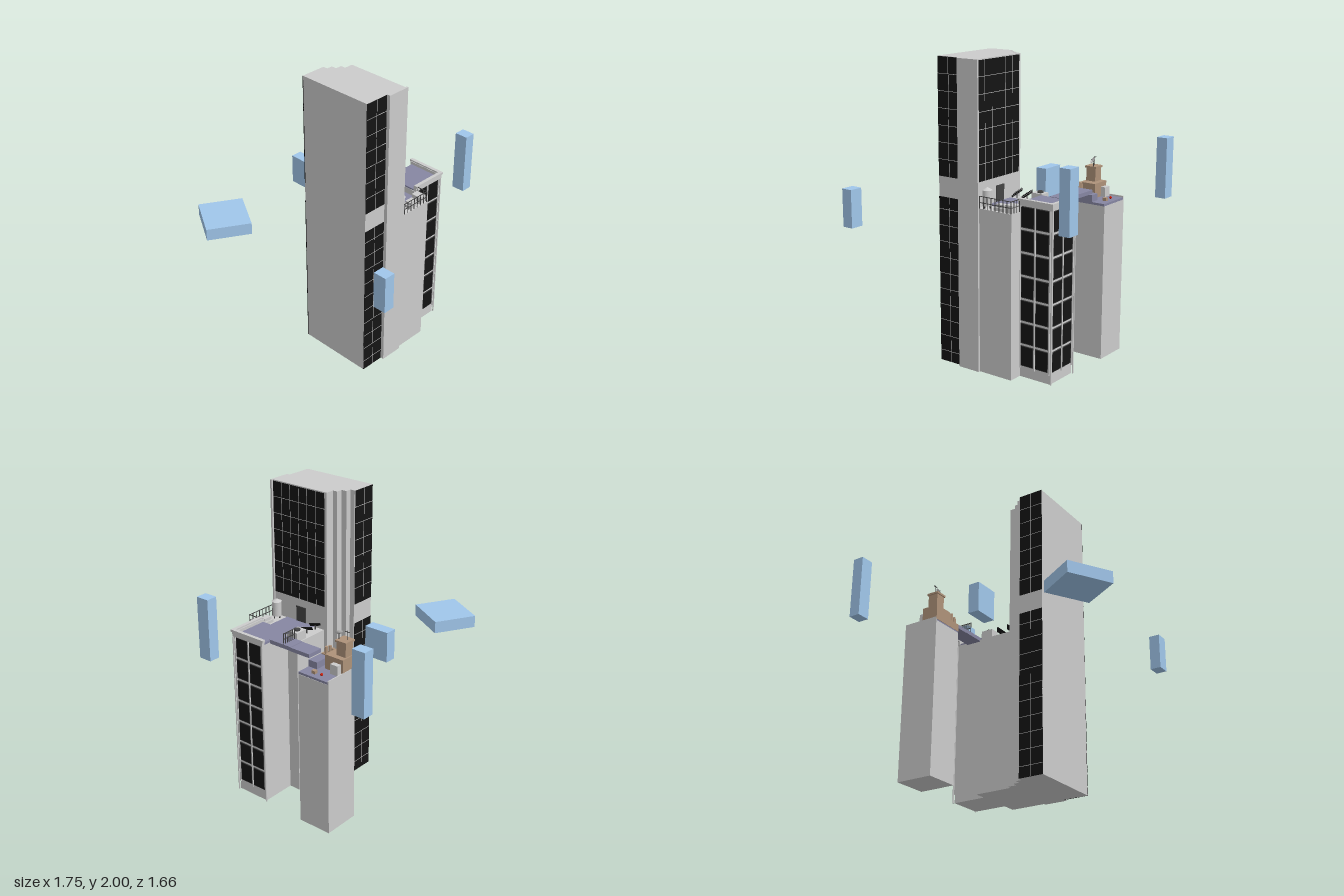
import * as THREE from 'three';

const mat = (color) => new THREE.MeshStandardMaterial({ color });
const GREY = mat(0xcccccc), GLASS = mat(0x141414), ROOF = mat(0x8686a2);
const BLUE = mat(0xa0c6ea), BROWN = mat(0xae9279), DARK = mat(0x444444), RED = mat(0xcc2211);

function add(parent, name, geo, m, x = 0, y = 0, z = 0) {
  const mesh = new THREE.Mesh(geo, m);
  mesh.name = name;
  mesh.position.set(x, y, z);
  parent.add(mesh);
  return mesh;
}

// Box given by its minimum and maximum on each axis
function block(parent, name, m, x0, x1, y0, y1, z0, z1) {
  return add(parent, name, new THREE.BoxGeometry(x1 - x0, y1 - y0, z1 - z0), m,
    (x0 + x1) / 2, (y0 + y1) / 2, (z0 + z1) / 2);
}

function group(parent, name, x = 0, y = 0, z = 0, turn = 0) {
  const g = new THREE.Group();
  g.name = name;
  g.position.set(x, y, z);
  g.rotation.y = turn;
  parent.add(g);
  return g;
}

// Dark glazing with thin mullions, facing local +z, origin at bottom centre
function curtainWall(parent, name, w, h, cols, lines, x, y, z, turn) {
  const g = group(parent, name, x, y, z, turn);
  block(g, 'glass', GLASS, -w / 2, w / 2, 0, h, -0.004, 0.002);
  for (let i = 1; i < cols; i++) {
    const u = -w / 2 + (w * i) / cols;
    block(g, 'mullion', GREY, u - 0.0015, u + 0.0015, 0, h, 0, 0.003);
  }
  for (const v of lines) block(g, 'transom', GREY, -w / 2, w / 2, v - 0.0015, v + 0.0015, 0, 0.003);
}

const rows = (start, step, n) => Array.from({ length: n }, (_, i) => start + i * step);

// Two columns of seven framed windows, facing local +z
function windowBays(parent, name, x, z, turn) {
  const g = group(parent, name, x, 0, z, turn);
  for (let r = 0; r < 7; r++) for (const s of [-1, 1]) {
    const y = 0.143 + r * 0.151, u = s * 0.056;
    block(g, 'windowFrame', DARK, u - 0.05, u + 0.05, y - 0.068, y + 0.068, -0.004, 0.004);
    block(g, 'windowPane', GLASS, u - 0.045, u + 0.045, y - 0.063, y + 0.063, 0, 0.006);
  }
  for (const u of [-0.112, 0, 0.112]) block(g, 'pilaster', GREY, u - 0.004, u + 0.004, 0.06, 1.15, 0, 0.008);
}

// Railing between two points on a level deck
function railing(parent, name, x0, z0, x1, z1, y, h, posts) {
  const len = Math.hypot(x1 - x0, z1 - z0);
  const g = group(parent, name, x0, y, z0, -Math.atan2(z1 - z0, x1 - x0));
  for (const v of [h, h * 0.5]) block(g, 'rail', DARK, 0, len, v - 0.004, v, -0.002, 0.002);
  for (let i = 0; i <= posts; i++) {
    const u = (len * i) / posts;
    block(g, 'post', DARK, u - 0.002, u + 0.002, 0, h, -0.002, 0.002);
  }
}

function buildTower(root) {
  const g = group(root, 'mainTower');
  const plan = new THREE.Shape([
    [-0.16, 0.18], [0.374, 0.18], [0.374, 0.008], [0.398, 0.008], [0.398, -0.152], [0.385, -0.152],
    [0.385, -0.14], [-0.056, -0.14], [-0.056, -0.08], [-0.09, -0.08], [-0.09, -0.036],
    [-0.127, -0.036], [-0.127, 0.004], [-0.16, 0.004],
  ].map(([x, z]) => new THREE.Vector2(x, -z)));
  const geo = new THREE.ExtrudeGeometry(plan, { depth: 2, bevelEnabled: false });
  geo.rotateX(-Math.PI / 2);
  add(g, 'towerShell', geo, GREY);
  // Side glazing, broken by a plain band
  for (const [x, turn] of [[0.374, Math.PI / 2], [-0.16, -Math.PI / 2]]) {
    curtainWall(g, 'lowerSideGlazing', 0.17, 1.11, 2, rows(0.072, 0.1064, 10), x, 0, 0.095, turn);
    curtainWall(g, 'upperSideGlazing', 0.17, 0.755, 2, rows(0.11, 0.108, 6), x, 1.243, 0.095, turn);
  }
  curtainWall(g, 'backGlazing', 0.42, 0.75, 6, rows(0.11, 0.108, 6), 0.172, 1.243, -0.14, Math.PI);
  block(g, 'terraceDoor', DARK, 0.12, 0.2, 1.08, 1.19, -0.145, -0.139);
}

function buildWing(root) {
  const g = group(root, 'rearWing');
  block(g, 'terraceBlock', GREY, -0.03, 0.382, 0, 1.08, -0.398, -0.139);
  block(g, 'terraceWalk', ROOF, 0.05, 0.285, 1.078, 1.085, -0.392, -0.14);
  block(g, 'wingBody', GREY, 0.05, 0.285, 0, 1.125, -0.63, -0.38);
  block(g, 'wingRoof', ROOF, 0.05, 0.275, 1.12, 1.135, -0.62, -0.384);
  windowBays(g, 'sideWindows', 0.285, -0.51, Math.PI / 2);
  windowBays(g, 'backWindows', 0.167, -0.63, Math.PI);
  // Cornice and corner posts
  block(g, 'backParapet', GREY, 0.04, 0.295, 1.12, 1.155, -0.642, -0.62);
  block(g, 'sideParapet', GREY, 0.272, 0.295, 1.12, 1.155, -0.642, -0.385);
  block(g, 'backCornice', GREY, 0.03, 0.302, 1.15, 1.165, -0.648, -0.624);
  block(g, 'sideCornice', GREY, 0.278, 0.302, 1.15, 1.165, -0.648, -0.385);
  for (const x of [0.045, 0.29])
    add(g, 'cornerPost', new THREE.CylinderGeometry(0.005, 0.005, 1.12, 8), GREY, x, 0.56, -0.639);

  // Right-hand terrace plant
  const plant = group(g, 'terracePlant');
  block(plant, 'coolingUnit', GREY, 0.3, 0.37, 1.08, 1.13, -0.395, -0.34);
  block(plant, 'ventBase', GREY, 0.305, 0.365, 1.08, 1.1, -0.33, -0.25);
  block(plant, 'ventTop', GREY, 0.315, 0.355, 1.1, 1.12, -0.32, -0.26);
  add(plant, 'waterTank', new THREE.CylinderGeometry(0.03, 0.03, 0.1, 16), GREY, 0.34, 1.145, -0.18);
  add(plant, 'tankLid', new THREE.ConeGeometry(0.034, 0.018, 16), GREY, 0.34, 1.204, -0.18);
  for (const a of [0, 1, 2, 3]) block(plant, 'tankLeg', DARK, -0.003, 0.003, 1.08, 1.1, -0.003, 0.003)
    .position.add(new THREE.Vector3(0.34 + 0.024 * Math.cos(a * 1.57), 0, -0.18 + 0.024 * Math.sin(a * 1.57)));
  railing(plant, 'terraceSideRail', 0.38, -0.15, 0.38, -0.395, 1.08, 0.08, 8);
  railing(plant, 'terraceBackRail', 0.295, -0.395, 0.38, -0.395, 1.08, 0.08, 3);

  // Left-hand terrace equipment
  const kit = group(g, 'terraceEquipment');
  block(kit, 'rooftopUnit', GREY, -0.022, 0.045, 1.08, 1.14, -0.39, -0.305);
  add(kit, 'unitFan', new THREE.CylinderGeometry(0.02, 0.02, 0.012, 16), DARK, 0.012, 1.145, -0.35);
  for (const z of [-0.25, -0.17]) {
    const s = group(kit, 'solarPanel', 0.018, 1.115, z, Math.PI / 5);
    const p = add(s, 'panel', new THREE.BoxGeometry(0.07, 0.005, 0.08), GLASS);
    p.rotation.x = 0.6;
    for (const u of [-0.023, 0, 0.023]) block(p, 'panelSeam', GREY, u - 0.001, u + 0.001, 0.002, 0.0035, -0.04, 0.04);
    block(s, 'panelStand', DARK, -0.004, 0.004, -0.035, 0, -0.004, 0.004);
  }
}

function buildAnnex(root) {
  const g = group(root, 'annexTower');
  block(g, 'annexBody', GREY, -0.5, -0.265, 0, 1.04, -0.655, -0.405);
  block(g, 'annexRoof', ROOF, -0.498, -0.265, 1.04, 1.055, -0.653, -0.407);
  block(g, 'roofEdge', GREY, -0.5, -0.493, 1.04, 1.065, -0.655, -0.405);
  block(g, 'roofVent', BROWN, -0.365, -0.338, 1.05, 1.075, -0.62, -0.595);
  add(g, 'warningLight', new THREE.SphereGeometry(0.009, 10, 8), RED, -0.41, 1.065, -0.61);
  block(g, 'bridgeStep', ROOF, -0.33, -0.265, 1.05, 1.1, -0.56, -0.45);

  // Brown roof hut, stepped
  const hut = group(g, 'roofHut');
  block(hut, 'hutBase', BROWN, -0.498, -0.36, 1.05, 1.15, -0.52, -0.405);
  block(hut, 'hutTop', BROWN, -0.49, -0.42, 1.15, 1.24, -0.483, -0.413);
  block(hut, 'hutCap', BROWN, -0.497, -0.413, 1.237, 1.25, -0.49, -0.406);
  block(hut, 'frontLedge', BROWN, -0.36, -0.265, 1.05, 1.1, -0.44, -0.405);
  block(hut, 'serviceBox', GREY, -0.485, -0.43, 1.05, 1.12, -0.555, -0.522);
  for (const [x, h] of [[-0.345, 0.05], [-0.32, 0.06], [-0.29, 0.045]])
    add(hut, 'chimneyPot', new THREE.CylinderGeometry(0.01, 0.012, h, 10), BROWN, x, 1.1 + h / 2, -0.423);

  // Dish and aerial
  const dish = group(hut, 'satelliteDish', -0.425, 1.285, -0.465);
  add(dish, 'mast', new THREE.CylinderGeometry(0.003, 0.003, 0.05, 6), DARK, 0, -0.02, 0);
  const bowlProfile = [[0, 0], [0.01, 0.002], [0.018, 0.006], [0.024, 0.012]].map((p) => new THREE.Vector2(...p));
  const bowl = add(dish, 'bowl', new THREE.LatheGeometry(bowlProfile, 16),
    new THREE.MeshStandardMaterial({ color: 0xcccccc, side: THREE.DoubleSide }));
  bowl.rotation.set(0.7, 0, -0.6);
  add(bowl, 'feed', new THREE.CylinderGeometry(0.0015, 0.0015, 0.025, 6), DARK, 0, 0.012, 0);
  block(hut, 'aerialMast', DARK, -0.472, -0.469, 1.25, 1.31, -0.446, -0.443);
  block(hut, 'aerialBar', DARK, -0.488, -0.455, 1.3, 1.304, -0.446, -0.443);
}

function buildBridge(root) {
  const g = group(root, 'skyBridge');
  block(g, 'bridgeDeckOuter', ROOF, -0.27, -0.12, 1.11, 1.135, -0.56, -0.45);
  block(g, 'bridgeDeckInner', ROOF, -0.12, 0.055, 1.112, 1.138, -0.56, -0.45);
  railing(g, 'bridgeGate', -0.06, -0.555, -0.06, -0.455, 1.135, 0.075, 6);
}

export function createModel() {
  const root = new THREE.Group();
  root.name = 'rooftopTowers';
  buildTower(root);
  buildWing(root);
  buildAnnex(root);
  buildBridge(root);
  // Floating blocks around the towers
  block(root, 'floatingBlockBackRight', BLUE, -0.88, -0.79, 1.01, 1.42, -0.8, -0.725);
  block(root, 'floatingBlockBackLeft', BLUE, 0.305, 0.395, 1.01, 1.42, -0.83, -0.755);
  block(root, 'floatingBlockFrontLeft', BLUE, 0.785, 0.875, 0.955, 1.2, 0.465, 0.54);
  block(root, 'floatingBlockSide', BLUE, -0.53, -0.36, 1.0, 1.2, 0.055 - 0.185, -0.055 + 0.002);
  add(root, 'floatingSlab', new THREE.BoxGeometry(0.311, 0.08, 0.29), BLUE, -0.448, 1.04, 0.622).rotation.y = -Math.PI / 6;
  return root;
}
